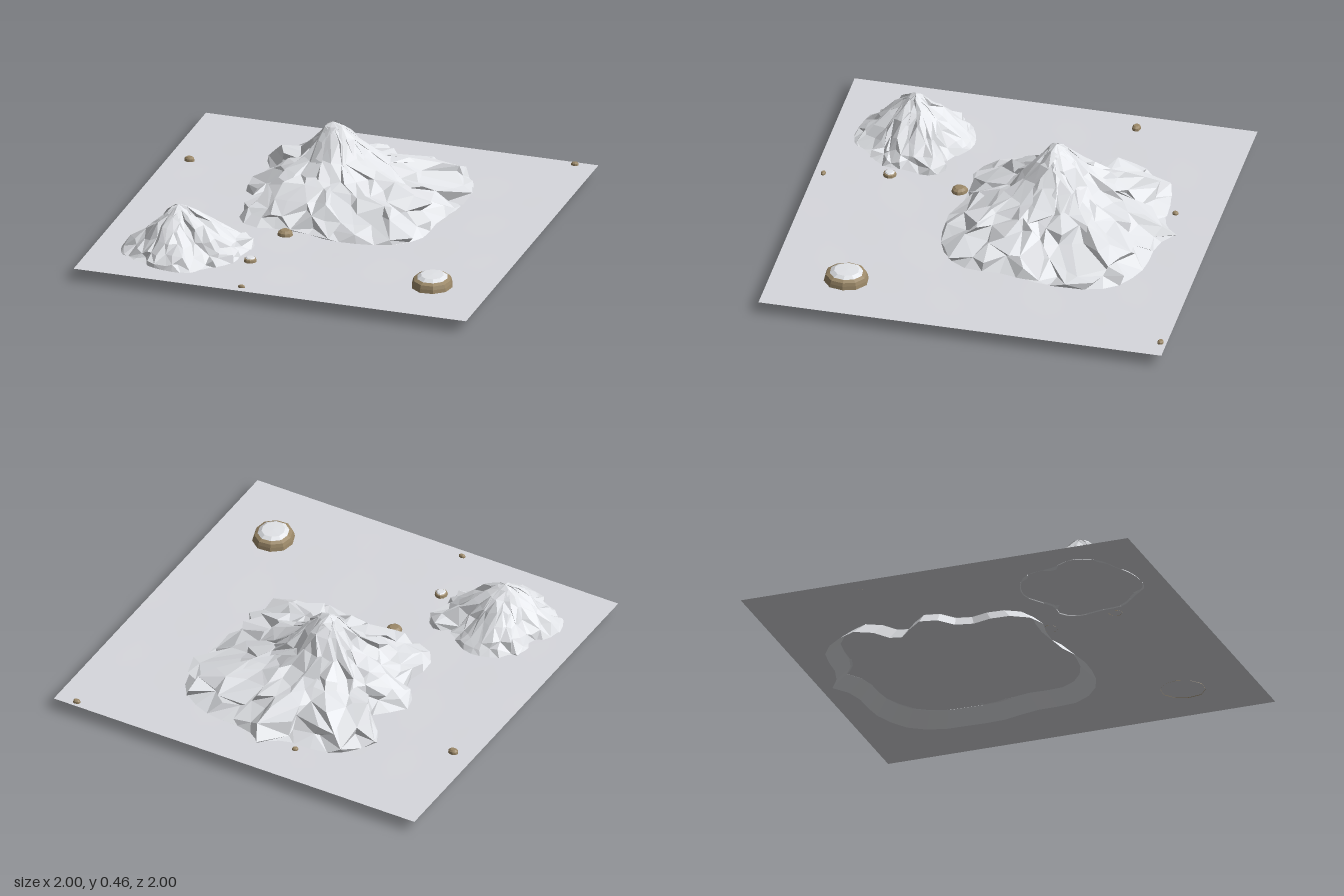
import * as THREE from 'three';

const GROUND_Y = 0.06;

// Repeatable pseudo-random value in -1..1
const hash = (a, b, seed) => {
  const s = Math.sin(a * 127.1 + b * 311.7 + seed * 74.7) * 43758.5453;
  return (s - Math.floor(s)) * 2 - 1;
};

// Faceted heap: a closed outline [x, z] is scaled towards its peak along a profile of [scale, height]
function heap(peak, outline, profile, { count = 40, rough = 0, seed = 1, shift = 0 } = {}) {
  const curve = new THREE.CatmullRomCurve3(
    outline.map(([x, z]) => new THREE.Vector3(x, 0, z)), true, 'centripetal');
  const rim = curve.getSpacedPoints(count).slice(0, count);
  const pos = [];
  const index = [];
  profile.forEach(([t, y], i) => {
    const inner = t > 0 && t < 0.97 ? rough : 0;
    for (let j = 0; j < count; j++) {
      // Ridges persist over pairs of rings, with finer breakup on top
      const ridge = hash(Math.floor(j / 3), i >> 1, seed) * 0.6 + hash(j, i, seed) * 0.4;
      const s = t * (1 + inner * 0.5 * hash(j, i + 9, seed));
      const turn = inner * shift * hash(j, i + 20, seed);
      const dx = rim[j].x - peak[0];
      const dz = rim[j].z - peak[1];
      pos.push(peak[0] + dx * s - dz * turn,
        y + inner * 0.13 * (ridge - 0.3) * Math.min(1, t * 4),
        peak[1] + dz * s + dx * turn);
      if (i > 0) {
        const k = (j + 1) % count;
        const a = (i - 1) * count + j, b = (i - 1) * count + k;
        const c = i * count + j, d = i * count + k;
        if (profile[i - 1][0] === 0) index.push(a, c, d);
        else if ((i + j) % 2) index.push(a, c, d, a, d, b);
        else index.push(a, c, b, b, c, d);
      }
    }
  });
  const geo = new THREE.BufferGeometry();
  geo.setAttribute('position', new THREE.Float32BufferAttribute(pos, 3));
  geo.setIndex(index);
  const flat = geo.toNonIndexed();
  flat.computeVertexNormals();
  return flat;
}

export function createModel() {
  const group = new THREE.Group();
  const mat = (name, color) => {
    const m = new THREE.MeshStandardMaterial({ color, side: THREE.DoubleSide });
    m.name = name;
    return m;
  };
  const snow = mat('snow', 0xe4e6ea);
  const field = mat('snowField', 0xd7d8dd);
  const stone = mat('stone', 0x9b8868);
  const add = (name, geo, material, parent = group) => {
    const mesh = new THREE.Mesh(geo, material);
    mesh.name = name;
    parent.add(mesh);
  };

  // Snow field with very slight swells
  const plane = new THREE.PlaneGeometry(2, 2, 28, 28).rotateX(-Math.PI / 2);
  const p = plane.attributes.position;
  for (let i = 0; i < p.count; i++) {
    const x = p.getX(i), z = p.getZ(i);
    const fade = (1 - x ** 4) * (1 - z ** 4);
    p.setY(i, GROUND_Y - 0.001 + 0.002 * fade * Math.sin(x * 9 + z * 4) * Math.cos(z * 8 - x * 3));
  }
  plane.computeVertexNormals();
  add('snowField', plane, field);

  // Large mountain, its skirt reaching below the field
  add('largeMountain', heap([-0.09, -0.22], [
    [0.53, -0.42], [0.52, -0.55], [0.46, -0.66], [0.3, -0.74], [0.06, -0.76], [-0.03, -0.82],
    [-0.13, -0.76], [-0.38, -0.72], [-0.5, -0.6], [-0.53, -0.52], [-0.46, -0.43], [-0.38, -0.39],
    [-0.44, -0.33], [-0.54, -0.2], [-0.42, -0.07], [-0.44, 0.02], [-0.45, 0.13], [-0.36, 0.25],
    [-0.2, 0.23], [-0.06, 0.24], [0.07, 0.28], [0.33, 0.25], [0.47, 0.12], [0.49, -0.1], [0.53, -0.25],
  ], [
    [0, 0.46], [0.07, 0.44], [0.16, 0.39], [0.28, 0.31], [0.42, 0.245], [0.56, 0.215],
    [0.7, 0.18], [0.84, 0.135], [0.93, 0.1], [1, 0.058], [1.13, 0],
  ], { count: 44, rough: 0.24, seed: 3, shift: 0.3 }), snow);

  // Small mountain
  add('smallMountain', heap([-0.6, 0.6], [
    [-0.26, 0.46], [-0.31, 0.39], [-0.4, 0.39], [-0.48, 0.34], [-0.56, 0.3], [-0.68, 0.32],
    [-0.79, 0.4], [-0.82, 0.54], [-0.87, 0.66], [-0.82, 0.78], [-0.72, 0.83], [-0.6, 0.88],
    [-0.46, 0.88], [-0.38, 0.8], [-0.29, 0.7], [-0.28, 0.6],
  ], [
    [0, 0.29], [0.1, 0.278], [0.25, 0.245], [0.42, 0.205], [0.6, 0.158], [0.78, 0.112],
    [0.9, 0.082], [1, 0.055],
  ], { count: 40, rough: 0.2, seed: 8, shift: 0.3 }), snow);

  // Scattered rocks: x, z, half width, half depth, height, snow capped
  [
    [0.705, 0.63, 0.105, 0.115, 0.056, true],
    [-0.22, 0.64, 0.032, 0.034, 0.022, true],
    [-0.165, 0.28, 0.038, 0.042, 0.024, false],
    [-0.89, -0.425, 0.028, 0.022, 0.02, false],
    [-0.215, -0.78, 0.015, 0.016, 0.012, false],
    [0.89, -0.97, 0.019, 0.016, 0.014, false],
    [-0.16, 0.955, 0.018, 0.012, 0.012, false],
  ].forEach(([x, z, w, d, h, capped], n) => {
    const rock = new THREE.Group();
    rock.name = capped ? 'snowCappedRock' : 'rock';
    const outline = [];
    for (let k = 0; k < 9; k++) {
      const a = -k / 9 * Math.PI * 2;
      const r = 1 + 0.07 * hash(k, n, 5);
      outline.push([x + w * r * Math.cos(a), z + d * r * Math.sin(a)]);
    }
    const at = (f) => GROUND_Y + h * f;
    const top = [[0, at(1)], [0.55, at(0.97)], [0.74, at(0.76)]];
    const side = [[0.74, at(0.76)], [0.9, at(0.6)], [0.96, at(0.3)], [1, at(-0.06)]];
    const opt = { count: 10 };
    add('rockTop', heap([x, z], outline, top, opt), capped ? snow : stone, rock);
    add('rockSide', heap([x, z], outline, side, opt), stone, rock);
    group.add(rock);
  });

  return group;
}
